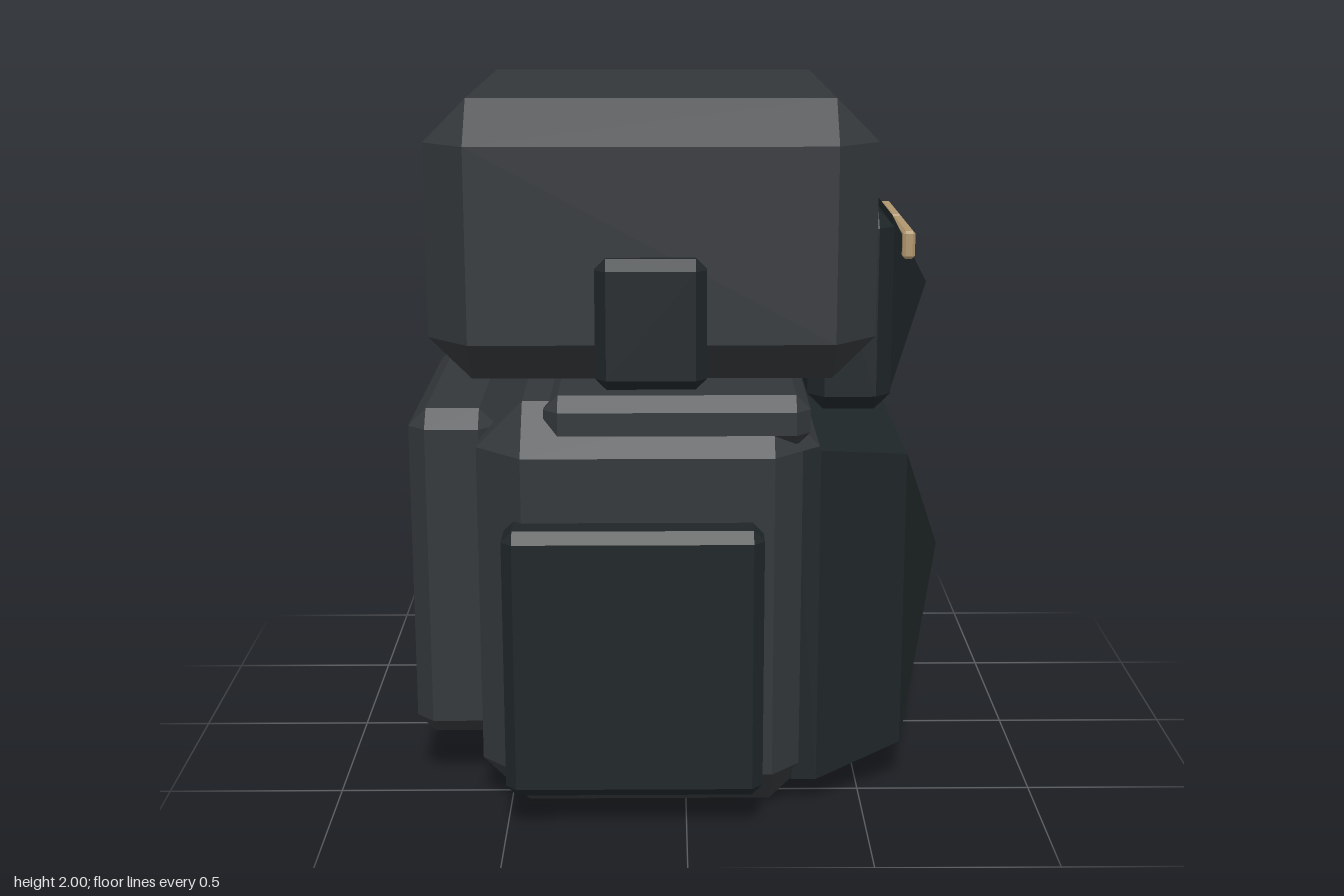
import * as THREE from 'three';
import { ConvexGeometry } from 'three/addons/geometries/ConvexGeometry.js';

const material = (color) => new THREE.MeshStandardMaterial({ color, flatShading: true });

export function createModel() {
  const model = new THREE.Group();
  const shell = material(0x33373a);
  const plate = material(0x1f2628);
  const brown = material(0x5e3d2b);
  const tan = material(0xb0966f);

  function add(name, geometry, mat) {
    const mesh = new THREE.Mesh(geometry, mat);
    mesh.name = name;
    model.add(mesh);
    return mesh;
  }

  // Box between two corners with every edge cut by c
  function chamferBox(name, [x0, y0, z0], [x1, y1, z1], c, mat) {
    const centre = [(x0 + x1) / 2, (y0 + y1) / 2, (z0 + z1) / 2];
    const half = [(x1 - x0) / 2, (y1 - y0) / 2, (z1 - z0) / 2];
    const points = [];
    for (const sx of [-1, 1]) for (const sy of [-1, 1]) for (const sz of [-1, 1])
      for (let axis = 0; axis < 3; axis++) {
        const p = [sx, sy, sz].map((s, i) => s * (half[i] - (i === axis ? 0 : c)));
        points.push(new THREE.Vector3(...p));
      }
    const mesh = add(name, new ConvexGeometry(points), mat);
    mesh.position.set(...centre);
    return mesh;
  }

  // Solid through rectangles [x, yMin, yMax, halfZ], ending in a point
  function pointedPlate(name, sections, apex, mat) {
    const points = [new THREE.Vector3(...apex)];
    for (const [x, y0, y1, z] of sections)
      for (const y of [y0, y1]) for (const s of [-1, 1])
        points.push(new THREE.Vector3(x, y, s * z));
    return add(name, new ConvexGeometry(points), mat);
  }

  // Torso, collar and backpack
  chamferBox('torso', [-0.58, 0, -0.69], [0.37, 1.18, 0.69], 0.13, shell);
  chamferBox('collar', [-0.39, 1.06, -0.64], [0.34, 1.205, 0.64], 0.04, shell);
  chamferBox('backpack', [-0.78, 0.16, -0.485], [-0.53, 1.13, 0.485], 0.05, shell);

  // Neck
  const neck = add('neck', new THREE.CylinderGeometry(0.4, 0.37, 0.25, 24), brown);
  neck.position.set(-0.04, 1.17, 0);

  // Helmet
  chamferBox('helmet', [-0.705, 1.235, -0.64], [0.52, 2, 0.64], 0.117, shell);

  // Chest plate
  pointedPlate('chestPlate',
    [[0.3, 0.08, 1.05, 0.61], [0.37, 0.08, 1.05, 0.61], [0.625, 0.13, 1.0, 0.46]],
    [0.78, 0.59, 0], plate);

  // Face guard
  chamferBox('faceGuard', [0.345, 1.115, -0.435], [0.58, 1.68, 0.435], 0.045, plate);
  pointedPlate('faceGuardPoint', [[0.575, 1.155, 1.665, 0.39]], [0.725, 1.41, 0], plate);

  // Mirrored side parts
  for (const [side, s] of [['left', 1], ['right', -1]]) {
    const pair = (name, x0, y0, x1, y1, za, zb, c, mat) => chamferBox(side + name,
      [x0, y0, Math.min(s * za, s * zb)], [x1, y1, Math.max(s * za, s * zb)], c, mat);
    pair('SidePlate', -0.5, 0.105, 0.21, 0.87, 0.63, 0.795, 0.03, plate);
    pair('EarGuard', -0.245, 1.235, 0.055, 1.59, 0.55, 0.69, 0.03, plate);
    pair('Eye', 0.615, 1.53, 0.65, 1.61, 0.012, 0.315, 0.008, tan);
  }
  return model;
}
